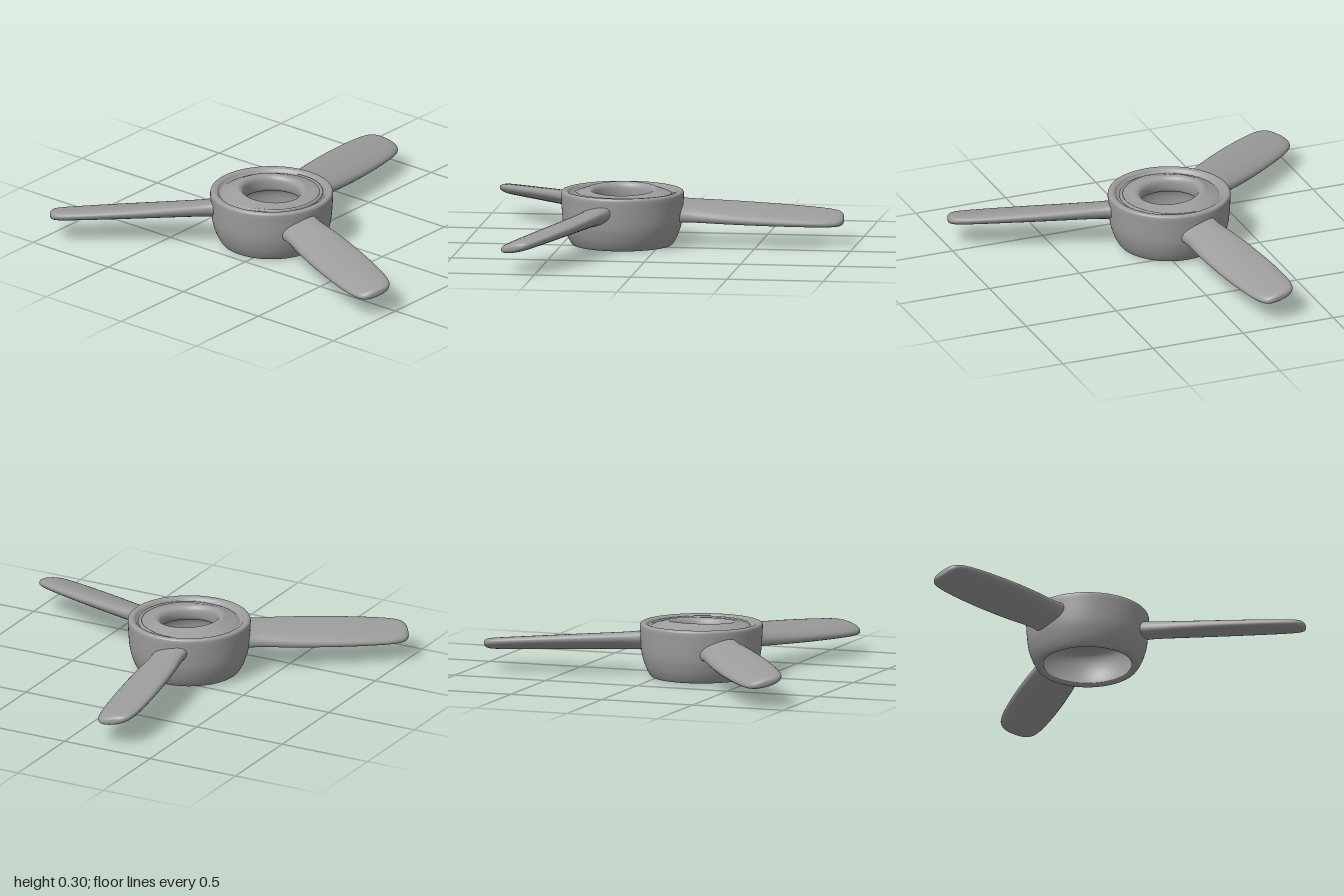
import * as THREE from 'three';
import { mergeVertices } from 'three/addons/utils/BufferGeometryUtils.js';

const material = new THREE.MeshStandardMaterial({ color: 0x9c9c9c });
const HUB_X = -0.194, HUB_Z = -0.077;

function part(name, geometry) {
  const mesh = new THREE.Mesh(geometry, material);
  mesh.name = name;
  return mesh;
}

// Join seams so the normals run smoothly across them
function smooth(geometry) {
  const welded = mergeVertices(geometry, 1e-5);
  welded.computeVertexNormals();
  return welded;
}

// Hollow bowl: outer wall, rounded rim, groove, domed inner ring, hole, cavity
function hubGeometry() {
  const corners = [
    [0.226, 0.014], [0.236, 0.003], [0.248, 0], [0.262, 0.008], [0.285, 0.05], [0.304, 0.11],
    [0.311, 0.17], [0.314, 0.22], [0.316, 0.262], [0.312, 0.276], [0.3, 0.281],
    [0.282, 0.277], [0.273, 0.266], [0.262, 0.26], [0.252, 0.266], [0.235, 0.272],
    [0.205, 0.278], [0.18, 0.284], [0.163, 0.281], [0.15, 0.268], [0.145, 0.245],
    [0.15, 0.215], [0.17, 0.202], [0.21, 0.195], [0.238, 0.175], [0.25, 0.14],
    [0.25, 0.09], [0.238, 0.04], [0.226, 0.014],
  ].map(([r, y]) => new THREE.Vector2(r, y));
  const profile = new THREE.SplineCurve(corners).getPoints(112);
  const geometry = new THREE.LatheGeometry(profile, 96);
  // The inner ring sits slightly tilted, higher at the back
  const p = geometry.attributes.position;
  for (let i = 0; i < p.count; i++) {
    const r = Math.hypot(p.getX(i), p.getZ(i));
    const top = THREE.MathUtils.smoothstep(p.getY(i), 0.22, 0.265);
    const inner = 1 - THREE.MathUtils.smoothstep(r, 0.17, 0.26);
    p.setY(i, p.getY(i) + (0.004 - (p.getZ(i) / r) * 0.011) * top * inner);
  }
  geometry.deleteAttribute('uv');
  geometry.deleteAttribute('normal');
  return smooth(geometry);
}

// Low ridge spiralling round the front of the inner ring
function ridgeGeometry() {
  const points = [];
  for (let i = 0; i <= 24; i++) {
    const t = i / 24;
    const a = -0.15 + t * 3.6;
    const r = 0.262 - 0.025 * t;
    const y = 0.26 + 0.006 * Math.sin(Math.PI * t);
    points.push(new THREE.Vector3(r * Math.cos(a), y, r * Math.sin(a)));
  }
  return new THREE.TubeGeometry(new THREE.CatmullRomCurve3(points), 72, 0.01, 10);
}

// Oval sections lofted outward along x, pitched and drooping to a rounded tip
function bladeGeometry() {
  // distance from hub centre, half width, half thickness
  const stations = new THREE.CatmullRomCurve3([
    [0.27, 0.1, 0.052], [0.315, 0.097, 0.047], [0.36, 0.098, 0.044], [0.5, 0.11, 0.04],
    [0.65, 0.117, 0.037], [0.8, 0.118, 0.034], [0.95, 0.113, 0.031], [1.05, 0.103, 0.029],
    [1.1, 0.089, 0.027], [1.124, 0.07, 0.023], [1.136, 0.043, 0.014], [1.139, 0, 0],
  ].map(s => new THREE.Vector3(...s)));
  const fuller = v => Math.sign(v) * Math.abs(v) ** 0.85;
  const rows = 66, sides = 32, positions = [], index = [];
  for (let i = 0; i <= rows; i++) {
    const s = stations.getPoint(i / rows);
    const along = (s.x - 0.3) / 0.84;
    const centre = 0.178 - 0.047 * along;
    const pitch = 0.27 - 0.06 * along;
    for (let j = 0; j < sides; j++) {
      const a = (j / sides) * Math.PI * 2;
      const z = s.y * fuller(Math.cos(a));
      positions.push(s.x, centre + s.z * fuller(Math.sin(a)) - z * pitch, z);
      if (i === rows) continue;
      const k = (j + 1) % sides, b = i * sides, c = b + sides;
      index.push(b + j, c + j, b + k, c + j, c + k, b + k);
    }
  }
  const geometry = new THREE.BufferGeometry();
  geometry.setAttribute('position', new THREE.Float32BufferAttribute(positions, 3));
  geometry.setIndex(index);
  return smooth(geometry);
}

export function createModel() {
  const model = new THREE.Group();
  model.name = 'propeller';
  const rotor = new THREE.Group();
  rotor.name = 'rotor';
  rotor.position.set(HUB_X, 0, HUB_Z);
  rotor.add(part('hub', hubGeometry()), part('spiralRidge', ridgeGeometry()));

  // Three equal blades
  const blade = bladeGeometry();
  for (let i = 0; i < 3; i++) {
    const mesh = part('blade' + (i + 1), blade);
    mesh.rotation.y = THREE.MathUtils.degToRad(8.2 + i * 120);
    rotor.add(mesh);
  }
  model.add(rotor);
  return model;
}
